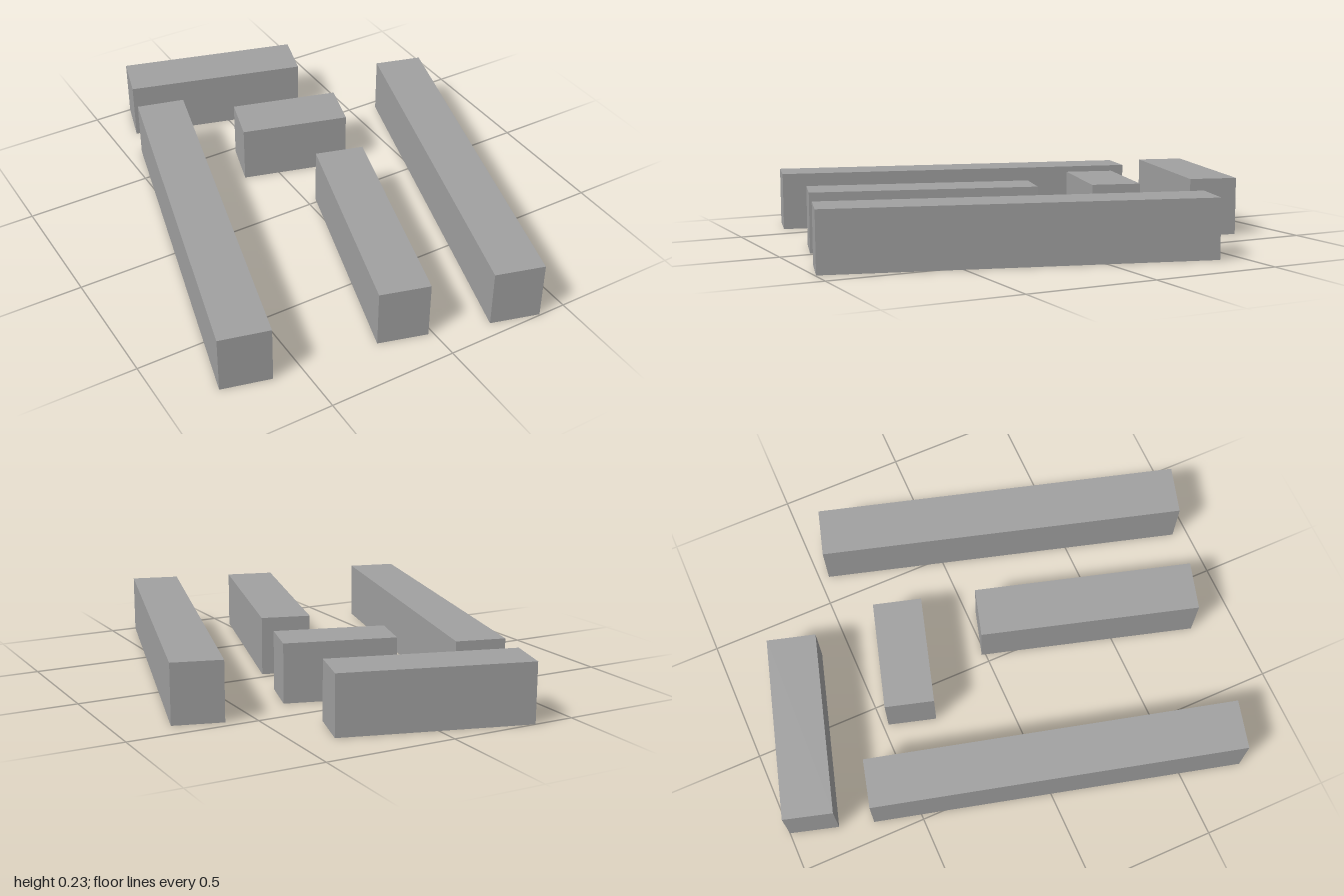
import * as THREE from 'three';

const HEIGHT = 0.23;
const THICKNESS = 0.193;

export function createModel() {
  const model = new THREE.Group();
  model.name = 'slantedBars';

  const grey = new THREE.MeshStandardMaterial({ color: 0xa0a0a0 });
  grey.name = 'grey';

  // name, width, depth, centre x, centre z, slant in degrees
  const bars = [
    ['rightLongBar', THICKNESS, 1.466, -0.522, 0.052, 14.5],
    ['leftLongBar', THICKNESS, 1.461, 0.503, 0.267, 16.1],
    ['middleBar', THICKNESS, 0.872, 0.009, 0.43, 16.1],
    ['backCrossBar', 0.726, THICKNESS, -0.019, -0.807, 16.1],
    ['shortCrossBar', 0.432, THICKNESS, 0.095, -0.326, 16.1],
  ];

  for (const [name, width, depth, x, z, slant] of bars) {
    const bar = new THREE.Mesh(new THREE.BoxGeometry(width, HEIGHT, depth), grey);
    bar.name = name;
    bar.position.set(x, HEIGHT / 2, z);
    bar.rotation.y = -THREE.MathUtils.degToRad(slant);
    model.add(bar);
  }

  return model;
}
